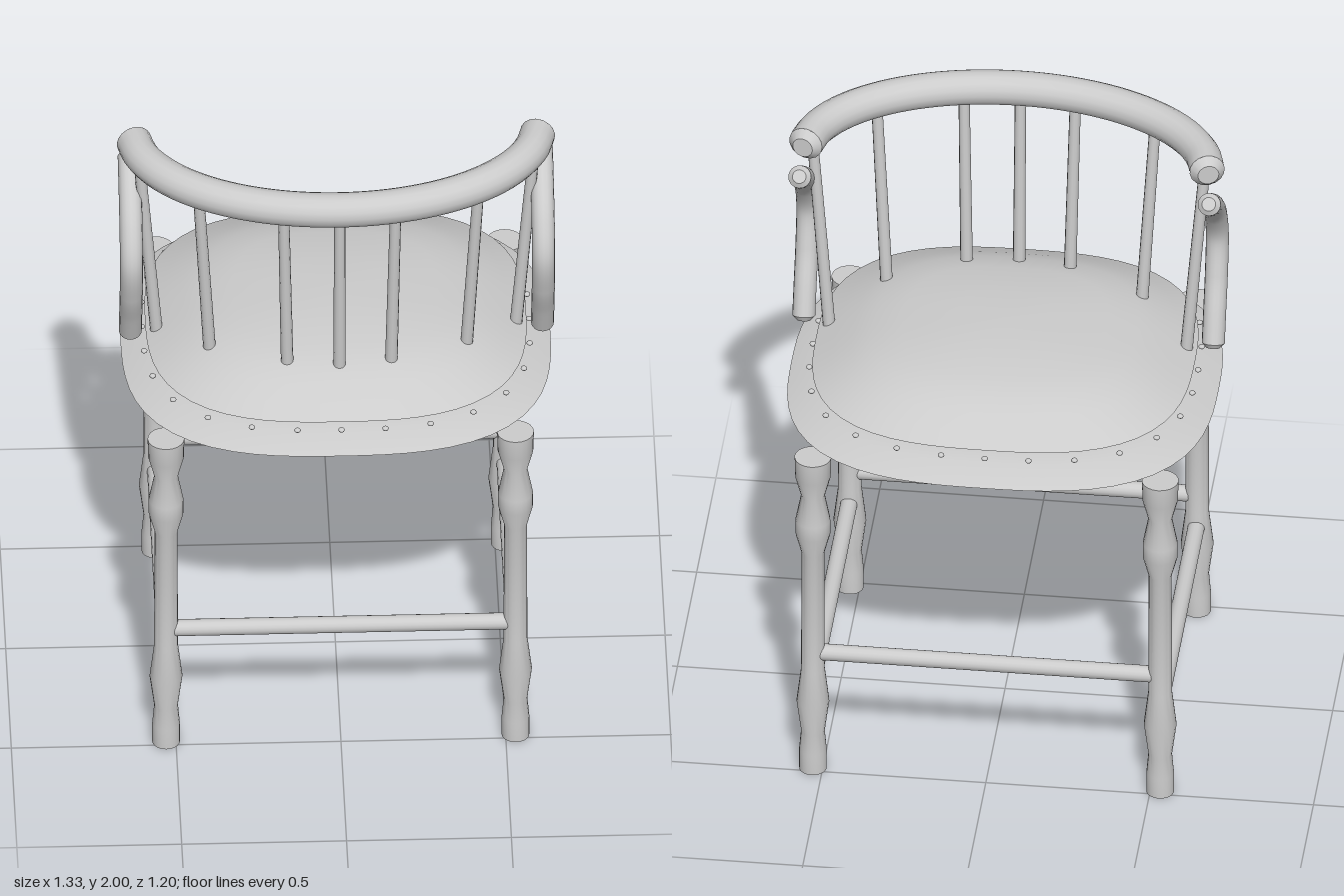
import * as THREE from 'three';
import { toCreasedNormals } from 'three/addons/utils/BufferGeometryUtils.js';

const material = new THREE.MeshStandardMaterial({ color: 0xcccccc });
const V = (x, y, z) => new THREE.Vector3(x, y, z);
const UP = V(0, 1, 0);

function add(parent, name, geometry) {
  const mesh = new THREE.Mesh(geometry, material);
  mesh.name = name;
  parent.add(mesh);
  return mesh;
}

// Round bar between two points
function bar(parent, name, from, to, r0, r1 = r0, sides = 16) {
  const dir = to.clone().sub(from);
  const mesh = add(parent, name, new THREE.CylinderGeometry(r1, r0, dir.length(), sides));
  mesh.position.copy(from).add(to).multiplyScalar(0.5);
  mesh.quaternion.setFromUnitVectors(UP, dir.normalize());
  return mesh;
}

// Bent round bar with chamfered ends
function bentBar(parent, name, curve, radius, chamfer) {
  const group = new THREE.Group();
  group.name = name;
  add(group, name + 'Tube', new THREE.TubeGeometry(curve, 48, radius, 16));
  for (const t of [0, 1]) {
    const end = curve.getPointAt(t);
    const out = curve.getTangentAt(t).multiplyScalar(t ? chamfer : -chamfer);
    bar(group, name + 'End', end, end.clone().add(out), radius, radius * 0.6);
  }
  parent.add(group);
}

// Rounded-square outline factor for a direction
const squareness = (c, s) => Math.pow(Math.abs(c) ** 2.8 + Math.abs(s) ** 2.8, -1 / 2.8);

// Turned profile [radius, y] pushed out to a rounded-square outline
function cushion(profile, depth) {
  const geometry = new THREE.LatheGeometry(profile.map(([r, y]) => new THREE.Vector2(r, y)), 64);
  const p = geometry.attributes.position;
  for (let i = 0; i < p.count; i++) {
    const x = p.getX(i), z = p.getZ(i), r = Math.hypot(x, z);
    if (r < 1e-6) continue;
    const k = squareness(x / r, z / r);
    p.setX(i, x * k);
    p.setZ(i, z * k * depth);
  }
  return toCreasedNormals(geometry, 0.5);
}

export function createModel() {
  const model = new THREE.Group();

  // Seat: wide base pad and domed cushion
  add(model, 'seatBase', cushion([
    [0, 1.11], [0.3, 1.113], [0.48, 1.122], [0.652, 1.16],
    [0.56, 1.195], [0.48, 1.203], [0, 1.205],
  ], 0.92));
  add(model, 'seatCushion', cushion([
    [0, 1.2], [0.5, 1.2], [0.578, 1.248], [0.52, 1.277], [0.46, 1.307],
    [0.4, 1.331], [0.31, 1.351], [0.15, 1.364], [0, 1.367],
  ], 0.925)).position.z = 0.01;

  // Upholstery tacks around the cushion
  const tackGeometry = new THREE.SphereGeometry(0.01, 10, 8);
  for (let i = 0; i < 28; i++) {
    const a = (i / 28) * Math.PI * 2, c = Math.cos(a), s = Math.sin(a), k = squareness(c, s);
    const tack = add(model, 'tack', tackGeometry);
    tack.position.set(0.588 * c * k, 1.222, 0.54 * s * k + 0.01);
    tack.scale.y = 0.7;
  }

  // Turned legs
  const legProfile = [
    [0, 0], [0.042, 0], [0.042, 0.07], [0.036, 0.14], [0.05, 0.25], [0.036, 0.37],
    [0.035, 0.8], [0.053, 0.87], [0.053, 0.92], [0.036, 1.01], [0.054, 1.08],
    [0.056, 1.15], [0, 1.15],
  ].map(([r, y]) => new THREE.Vector2(r, y));
  const legGeometry = toCreasedNormals(new THREE.LatheGeometry(legProfile, 20), 0.6);
  for (const x of [-0.53, 0.53])
    for (const z of [-0.48, 0.48]) add(model, 'leg', legGeometry).position.set(x, 0, z);

  // Stretchers between the legs
  for (const s of [-1, 1]) {
    bar(model, 'crossStretcher', V(-0.52, 0.43, 0.48 * s), V(0.52, 0.43, 0.48 * s), 0.026);
    bar(model, 'sideStretcher', V(0.53 * s, 0.325, -0.47), V(0.53 * s, 0.325, 0.47), 0.026);
  }

  // Curved top rail
  const railPoints = [];
  for (let i = 0; i <= 16; i++) {
    const a = THREE.MathUtils.degToRad(5 + (170 * i) / 16);
    railPoints.push(V(0.615 * Math.cos(a), 1.945, 0.4 * Math.sin(a)));
  }
  bentBar(model, 'topRail', new THREE.CatmullRomCurve3(railPoints), 0.054, 0.025);

  // Back spindles: [bottom x, bottom y, bottom z, top x, top z]
  const spindles = [
    [0, 1.33, 0.365, 0, 0.4], [0.158, 1.33, 0.345, 0.17, 0.38],
    [0.39, 1.31, 0.24, 0.425, 0.285], [0.545, 1.25, 0.07, 0.6, 0.095],
  ];
  for (const [x0, y0, z0, x1, z1] of spindles)
    for (const s of x0 ? [-1, 1] : [1])
      bar(model, 'spindle', V(s * x0, y0, z0), V(s * x1, 1.93, z1), 0.019, 0.017, 12);

  // Bowed arm supports
  for (const s of [-1, 1]) {
    const path = [[1.27, 0.09], [1.36, 0.125], [1.47, 0.17], [1.6, 0.195], [1.7, 0.155], [1.78, 0.085], [1.855, -0.015]];
    const curve = new THREE.CatmullRomCurve3(path.map(([y, z]) => V(0.625 * s, y, z)));
    bentBar(model, s > 0 ? 'leftArmSupport' : 'rightArmSupport', curve, 0.035, 0.015);
  }

  return model;
}
